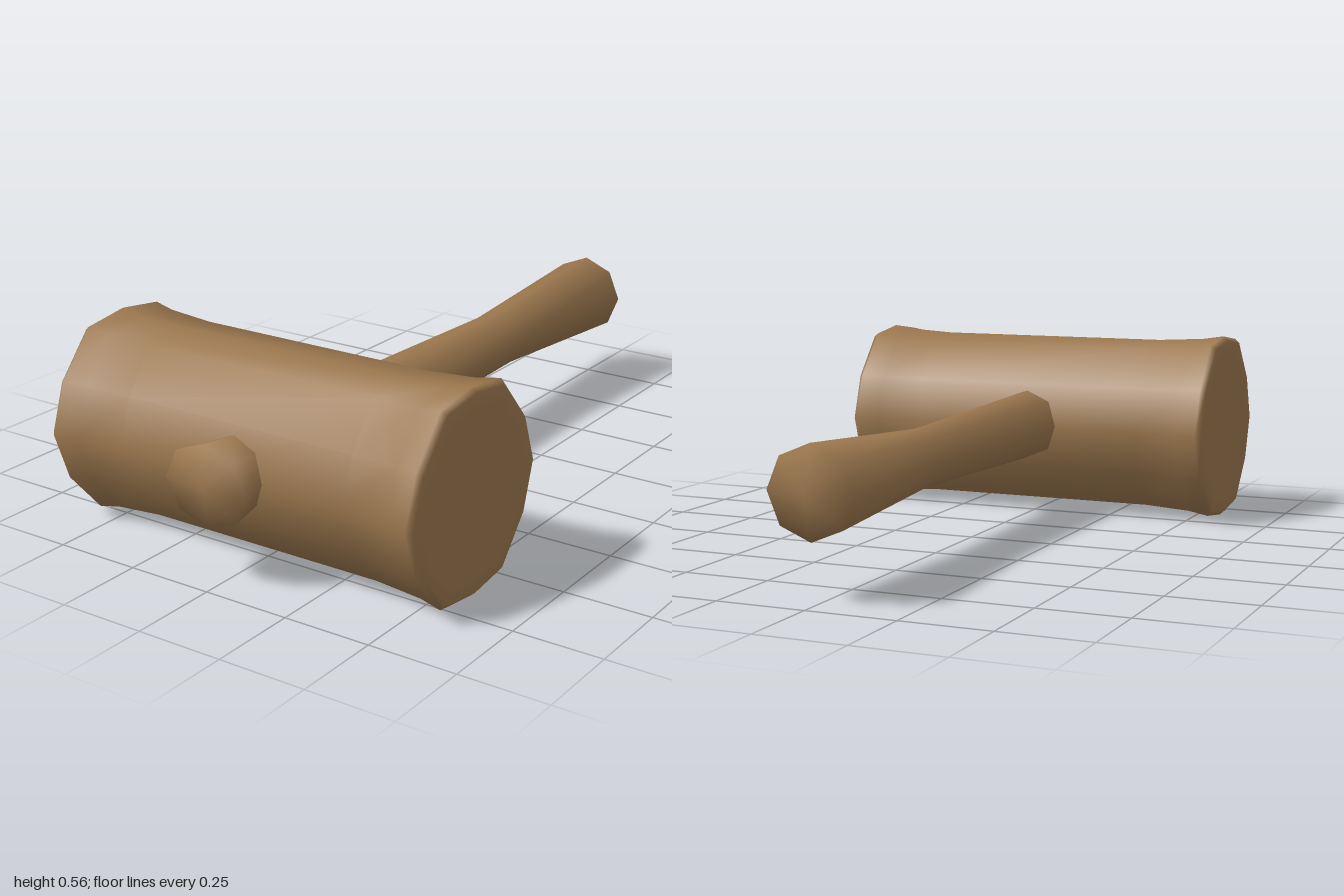
import * as THREE from 'three';

// Closed smooth loft along z. Section: unit outline, counterclockwise.
// Rings: [z, half width, half height], from back to front; pole ends close it.
function loft(section, rings, backPole, frontPole) {
  const n = section.length;
  const pos = [], index = [];
  for (const [z, w, h] of rings) for (const [x, y] of section) pos.push(x * w, y * h, z);
  for (let i = 0; i < rings.length - 1; i++) {
    for (let j = 0; j < n; j++) {
      const a = i * n + j, b = i * n + (j + 1) % n;
      index.push(a, b, a + n, b, b + n, a + n);
    }
  }
  const back = rings.length * n, front = back + 1, last = back - n;
  pos.push(0, 0, backPole, 0, 0, frontPole);
  for (let j = 0; j < n; j++) {
    const k = (j + 1) % n;
    index.push(back, k, j, front, last + j, last + k);
  }
  const g = new THREE.BufferGeometry();
  g.setAttribute('position', new THREE.Float32BufferAttribute(pos, 3));
  g.setIndex(index);
  g.computeVertexNormals();
  return g;
}

export function createModel() {
  const group = new THREE.Group();
  const wood = new THREE.MeshStandardMaterial({ color: 0x9b774e });
  wood.name = 'wood';

  // Twelve-sided, slightly squared head outline, mirrored from one quadrant
  const quad = [[1, 0], [0.84, 0.49], [0.47, 0.935], [0, 1]];
  const half = [...quad, ...quad.slice(0, 3).reverse().map(([x, y]) => [-x, y])];
  const headSection = [...half, ...half.slice(1, 6).reverse().map(([x, y]) => [x, -y])];

  // Head: straight barrel flaring to bevelled striking faces
  const flare = [[0.36, 0.252, 0.262], [0.5, 0.268, 0.27], [0.565, 0.29, 0.28],
    [0.58, 0.276, 0.267], [0.58, 0.235, 0.228]];
  const headRings = [...flare.map(([z, w, h]) => [-z, w, h]).reverse(), ...flare];
  const head = new THREE.Mesh(loft(headSection, headRings, -0.58, 0.58).rotateY(Math.PI / 2), wood);
  head.name = 'malletHead';
  head.position.set(0, 0.28, 0.65);
  group.add(head);

  // Handle: octagonal, waisted, passing through the head
  const octagon = Array.from({ length: 8 }, (_, i) => {
    const a = i * Math.PI / 4;
    return [Math.cos(a), Math.sin(a)];
  });
  const handleRings = [[-0.962, 0.123, 0.123], [-0.38, 0.085, 0.085], [0.4, 0.105, 0.105],
    [0.88, 0.105, 0.1], [0.985, 0.13, 0.113]];
  const handle = new THREE.Mesh(loft(octagon, handleRings, -1, 1), wood);
  handle.name = 'handle';
  handle.position.y = 0.283;
  group.add(handle);

  return group;
}
